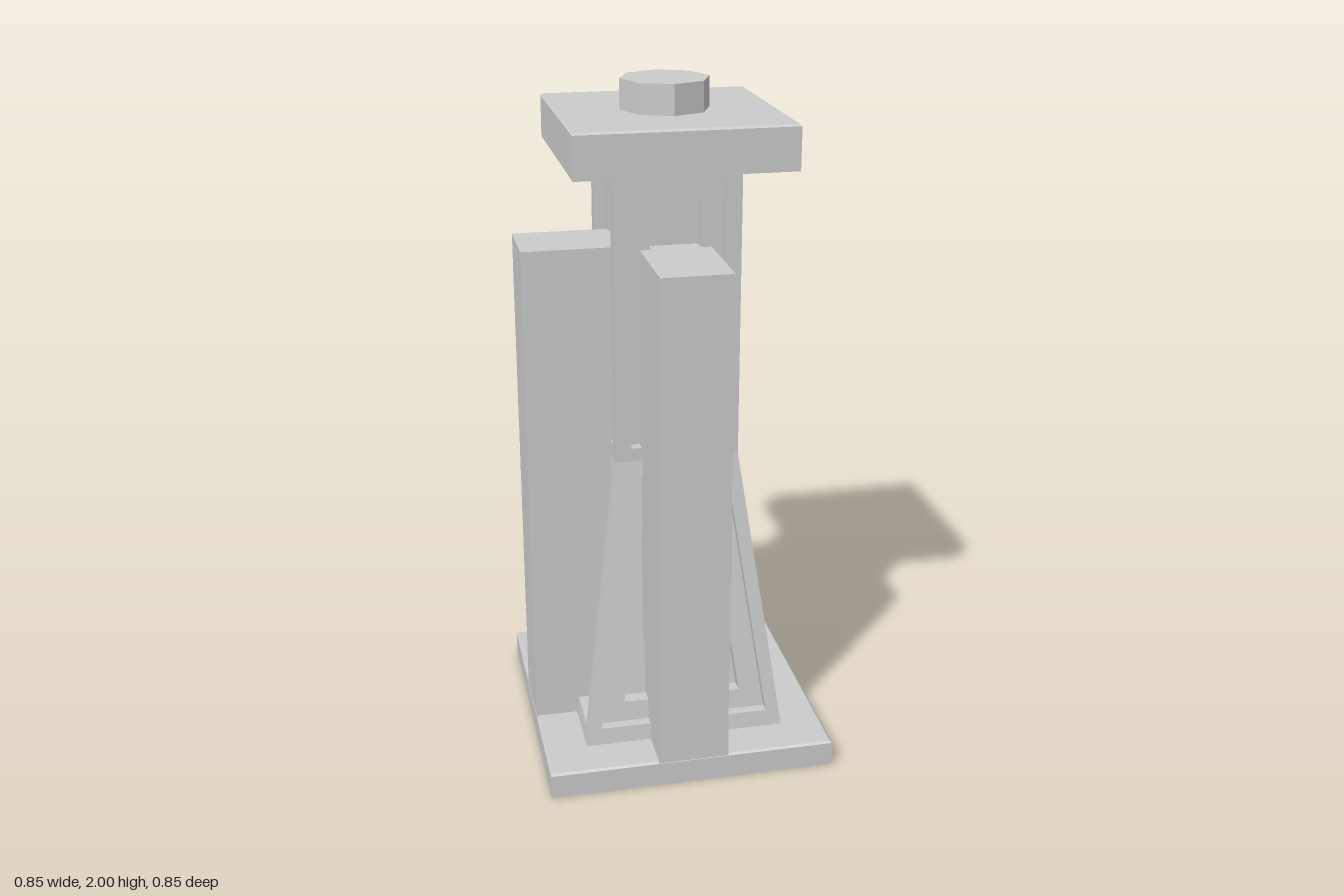
import * as THREE from 'three';

const material = new THREE.MeshStandardMaterial({ color: 0xcccccc, flatShading: true });

function add(parent, geometry, name) {
  const mesh = new THREE.Mesh(geometry, material);
  mesh.name = name;
  parent.add(mesh);
  return mesh;
}

// Square slab with a fine chamfer round its top edge
function slab(half, y0, y1, chamfer = 0.006) {
  const r = Math.SQRT2;
  const profile = [
    [0, y0], [half * r, y0], [half * r, y1 - chamfer], [(half - chamfer) * r, y1], [0, y1],
  ].map(([x, y]) => new THREE.Vector2(x, y));
  return new THREE.LatheGeometry(profile, 4, Math.PI / 4).toNonIndexed();
}

// One side of the pier: nested trapezoid loops stepping inwards.
// Each loop is [bottomY, bottomHalfWidth, topY, topHalfWidth, depth].
function panelledFace(surface, loops) {
  const rings = loops.map(([y0, w0, y1, w1, d]) => [
    [-w0, y0, surface(y0) - d], [w0, y0, surface(y0) - d],
    [w1, y1, surface(y1) - d], [-w1, y1, surface(y1) - d],
  ]);
  const pos = [];
  const quad = (a, b, c, d) => pos.push(...a, ...b, ...c, ...a, ...c, ...d);
  for (let i = 0; i < rings.length - 1; i++) {
    for (let k = 0; k < 4; k++) {
      const n = (k + 1) % 4;
      quad(rings[i][k], rings[i][n], rings[i + 1][n], rings[i + 1][k]);
    }
  }
  quad(...rings[rings.length - 1]);
  const g = new THREE.BufferGeometry();
  g.setAttribute('position', new THREE.Float32BufferAttribute(pos, 3));
  g.computeVertexNormals();
  return g;
}

// Double recess: flat rim, first step, second step
function recessLoops(edge, outer, inner) {
  const d1 = 0.03, d2 = 0.07;
  return [[...edge, 0], [...outer, 0], [...outer, d1], [...inner, d1], [...inner, d2]];
}

// Low wall running outwards along +z, with lapped boards on both sides
function wallGeometry() {
  const y0 = 0.06, first = 0.365, step = 0.2975, top = 1.555, w = 0.105, lap = 0.004;
  const side = [[w, y0]];
  for (let i = 0; i < 4; i++) {
    const y = first + i * step;
    side.push([w - lap, y], [w, y]);
  }
  side.push([w - lap, top]);
  const outline = [...side, ...side.slice().reverse().map(([x, y]) => [-x, y])];
  const shape = new THREE.Shape(outline.map(([x, y]) => new THREE.Vector2(x, y)));
  return new THREE.ExtrudeGeometry(shape, { depth: 0.324, bevelEnabled: false }).translate(0, 0, 0.1);
}

export function createModel() {
  const model = new THREE.Group();
  model.name = 'cornerPier';

  add(model, slab(0.425, 0, 0.08), 'base');
  add(model, slab(0.305, 1.79, 1.915), 'cap');

  // Octagonal stub on the cap
  const stub = add(model, new THREE.CylinderGeometry(0.127, 0.127, 0.09, 8), 'finial');
  stub.position.y = 1.955;

  // Flared lower stage and straight upper stage, four sides each
  const bottom = 0.08, waist = 0.94, top = 1.79;
  const slope = (y) => 0.30 + (0.18 - 0.30) * (y - bottom) / (waist - bottom);
  const lower = panelledFace(slope, recessLoops(
    [bottom, 0.30, waist, 0.18], [0.13, 0.253, 0.895, 0.146], [0.19, 0.177, 0.83, 0.09]));
  const upper = panelledFace(() => 0.18, recessLoops(
    [waist, 0.18, top, 0.18], [0.98, 0.135, 1.75, 0.135], [1.045, 0.072, 1.685, 0.072]));
  const pier = new THREE.Group();
  pier.name = 'pier';
  model.add(pier);
  for (let i = 0; i < 4; i++) {
    add(pier, lower, 'lowerPanelSide').rotation.y = i * Math.PI / 2;
    add(pier, upper, 'upperPanelSide').rotation.y = i * Math.PI / 2;
  }

  // Two walls meeting the pier at a right angle
  const wall = wallGeometry();
  add(model, wall, 'frontWall');
  add(model, wall, 'rightWall').rotation.y = -Math.PI / 2;

  return model;
}
